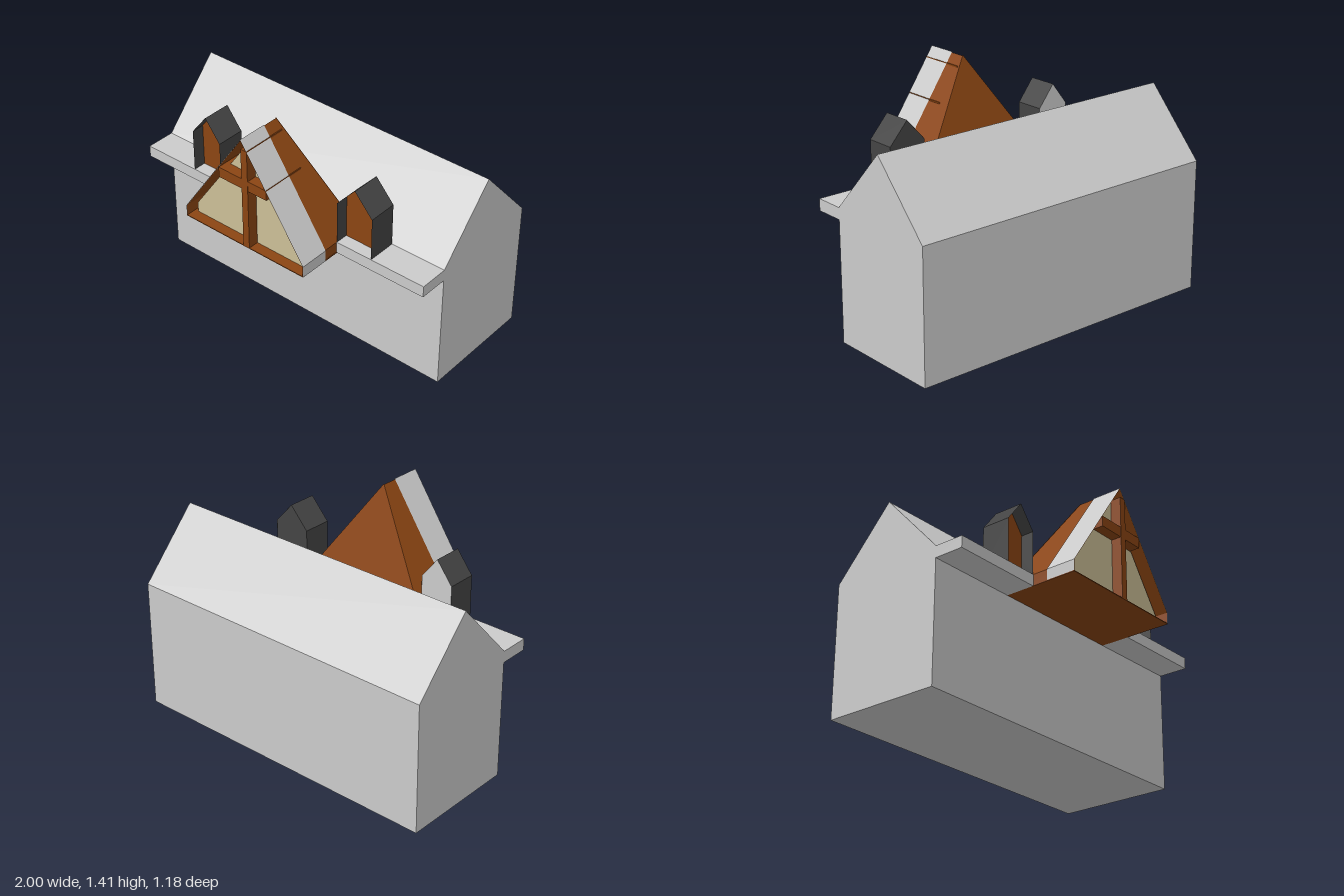
import * as THREE from 'three';

const mat = (color) => new THREE.MeshStandardMaterial({ color, flatShading: true, side: THREE.DoubleSide });
const grey = mat(0xcccccc), brown = mat(0x8b4513), dark = mat(0x444444), tan = mat(0xccbf97);

function add(parent, name, geometry, material, x = 0, y = 0, z = 0) {
  const mesh = new THREE.Mesh(geometry, material);
  mesh.name = name;
  mesh.position.set(x, y, z);
  parent.add(mesh);
  return mesh;
}

const shapeOf = (points) => new THREE.Shape(points.map(([x, y]) => new THREE.Vector2(x, y)));

// Gabled outline: straight walls of half width w, then a pitched top
const gable = (w, base, eave, peak) => [[-w, base], [-w, eave], [0, peak], [w, eave], [w, base]];

// Thin shell following an open outline; backZ gives the rear edge at each height
function shell(points, backZ, frontZ) {
  const pos = [];
  for (let i = 0; i < points.length - 1; i++) {
    const [ax, ay] = points[i], [bx, by] = points[i + 1];
    const a0 = [ax, ay, backZ(ay)], a1 = [ax, ay, frontZ];
    const b0 = [bx, by, backZ(by)], b1 = [bx, by, frontZ];
    pos.push(...a0, ...a1, ...b1, ...a0, ...b1, ...b0);
  }
  const g = new THREE.BufferGeometry();
  g.setAttribute('position', new THREE.Float32BufferAttribute(pos, 3));
  g.computeVertexNormals();
  return g;
}

function box(parent, name, material, x0, x1, y0, y1, z0, z1) {
  return add(parent, name, new THREE.BoxGeometry(x1 - x0, y1 - y0, z1 - z0), material,
    (x0 + x1) / 2, (y0 + y1) / 2, (z0 + z1) / 2);
}

// Small dormer: dark open-fronted shell with a recessed brown panel
function createDormer(name, x, w, backMaterial) {
  const dormer = new THREE.Group();
  dormer.name = name;
  dormer.position.x = x;
  const outline = gable(w, 0.79, 1.05, 1.18);
  add(dormer, 'dormerShell', shell(outline, () => 0.13, 0.31), dark);
  add(dormer, 'dormerPanel', new THREE.ShapeGeometry(shapeOf(outline)), brown, 0, 0, 0.23);
  add(dormer, 'dormerBack', new THREE.ShapeGeometry(shapeOf(outline)), backMaterial, 0, 0, 0.131);
  return dormer;
}

// Large glazed gable whose rear end slopes back down to the eaves
function createFrontGable() {
  const group = new THREE.Group();
  group.name = 'frontGable';
  group.position.x = -0.005;
  const w = 0.425, base = 0.72, eave = 0.79, peak = 1.41;
  const hipZ = (y) => 0.13 + 0.18 * Math.max(0, (y - eave) / (peak - eave));

  add(group, 'gableShell', shell(gable(w - 0.003, base, eave, peak - 0.005), hipZ, 0.589), brown);
  add(group, 'gableOuterCladding', shell(gable(w, base, eave, peak), () => 0.405, 0.59), grey);

  // Sloping rear face
  const hip = new THREE.ShapeGeometry(shapeOf([[-w, eave], [w, eave], [0, peak]]));
  const p = hip.attributes.position;
  for (let i = 0; i < p.count; i++) p.setZ(i, hipZ(p.getY(i)));
  hip.computeVertexNormals();
  add(group, 'gableRearSlope', hip, brown);

  box(group, 'gableFloor', brown, -w, w, base, base + 0.005, 0.13, 0.59);

  // Recessed glazing and the crossed timbers in front of it
  const glass = shapeOf(gable(0.4, 0.725, 0.785, 1.36));
  add(group, 'glazing', new THREE.ShapeGeometry(glass), tan, 0, 0, 0.525);
  box(group, 'verticalBeam', brown, 0, 0.043, base, 1.352, 0.31, 0.59);
  box(group, 'crossBeam', brown, -0.165, 0.172, 1.1, 1.163, 0.31, 0.588);
  return group;
}

export function createModel() {
  const model = new THREE.Group();
  model.name = 'house';

  // Main body: gabled section extruded along x
  const section = shapeOf([[-0.59, 0], [0.13, 0], [0.13, 0.79], [-0.23, 1.18], [-0.59, 0.79]]);
  const body = new THREE.ExtrudeGeometry(section, { depth: 2, bevelEnabled: false });
  body.translate(0, 0, -1).rotateY(-Math.PI / 2);
  add(model, 'houseBody', body, grey);

  // Eaves ledge along the front
  box(model, 'eavesLedge', grey, -1, 1, 0.72, 0.79, 0.13, 0.31);

  model.add(createFrontGable());
  model.add(createDormer('rightDormer', -0.533, 0.102, grey));
  model.add(createDormer('leftDormer', 0.535, 0.117, dark));
  return model;
}
